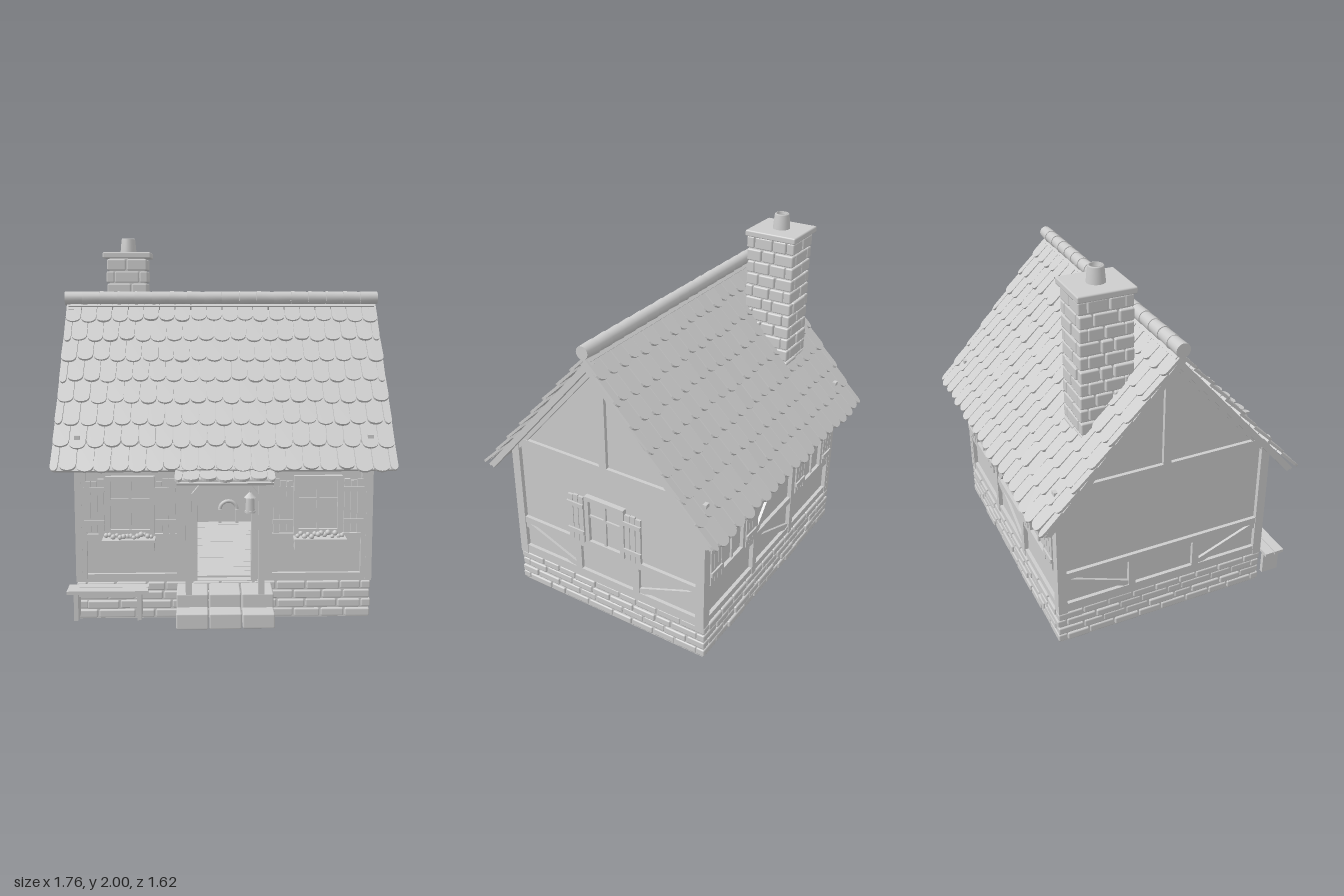
import * as THREE from 'three';
import { mergeGeometries } from 'three/addons/utils/BufferGeometryUtils.js';
import { RoundedBoxGeometry } from 'three/addons/geometries/RoundedBoxGeometry.js';

const CZ = -0.06;                       // centre line of the house in z
const SLOPE = 0.849;                    // roof pitch (about 48.7 degrees)
const clay = new THREE.MeshStandardMaterial({ color: 0xcccccc });
clay.name = 'paleGrey';

let seed = 7;
const rnd = (a = 0, b = 1) => {
  seed = (seed * 16807) % 2147483647;
  return a + (b - a) * (seed / 2147483647);
};

const flat = g => (g.index ? g.toNonIndexed() : g);
const box = (w, h, d, x, y, z) => new THREE.BoxGeometry(w, h, d).translate(x, y, z);
const stone = (w, h, d, x, y, z) =>
  new RoundedBoxGeometry(w, h, d, 1, Math.min(0.008, w / 4)).translate(x, y, z);
const rod = (r0, r1, h, x, y, z, n = 16) => new THREE.CylinderGeometry(r0, r1, h, n).translate(x, y, z);

function add(parent, name, geos) {
  const m = new THREE.Mesh(mergeGeometries(geos.map(flat)), clay);
  m.name = name;
  parent.add(m);
  return m;
}

// Timber between two points of a wall, standing proud by d
function beam(u0, y0, u1, y1, w, d = 0.02, z = 0) {
  return new THREE.BoxGeometry(Math.hypot(u1 - u0, y1 - y0), w, d + 0.01)
    .rotateZ(Math.atan2(y1 - y0, u1 - u0))
    .translate((u0 + u1) / 2, (y0 + y1) / 2, z + d / 2 - 0.005);
}

// Interlocking bricks around a rectangle
function brickRing(cx, cz, w, d, y0, rows, rowH, len, thick) {
  const out = [];
  for (let r = 0; r < rows; r++) {
    for (let side = 0; side < 4; side++) {
      const alongX = side % 2 === 0;
      const full = (alongX ? w : d) - ((r % 2 === 0) === alongX ? 0 : 2 * thick);
      const n = Math.max(1, Math.round(full / len));
      const cuts = [...Array(n + 1).keys()].map(i =>
        -full / 2 + full * (i / n) + (i > 0 && i < n ? rnd(-0.22, 0.22) * full / n : 0));
      for (let i = 0; i < n; i++) {
        const g = stone(cuts[i + 1] - cuts[i] - 0.007, rowH - 0.006, thick,
          (cuts[i] + cuts[i + 1]) / 2, y0 + (r + 0.5) * rowH,
          (alongX ? d : w) / 2 - thick / 2 + rnd(-0.006, 0.003));
        out.push(g.rotateY(side * Math.PI / 2).translate(cx, 0, cz));
      }
    }
  }
  return out;
}

// One round-ended tile hanging down from y = 0
function tile(w, l) {
  const s = new THREE.Shape();
  s.moveTo(-w / 2, 0);
  s.lineTo(-w / 2, -l + 0.035);
  s.bezierCurveTo(-w / 2, -l - 0.01, w / 2, -l - 0.01, w / 2, -l + 0.035);
  s.lineTo(w / 2, 0);
  return new THREE.ExtrudeGeometry(s, { depth: 0.014, bevelEnabled: false, curveSegments: 8 });
}

// Staggered rows of tiles on the plane z = 0, running down -y
function tileRows(half, n, rows, pitch, len, start) {
  const out = [], step = 2 * half / n;
  for (let r = 0; r < rows; r++) {
    const odd = r % 2;
    for (let i = 0; i < n + odd; i++) {
      const a = Math.max(-half, -half + (i - odd / 2) * step);
      const b = Math.min(half, -half + (i + 1 - odd / 2) * step);
      out.push(tile(b - a - 0.005, len + rnd(-0.008, 0.008))
        .rotateX(-0.08 + rnd(-0.02, 0.01)).rotateZ(rnd(-0.025, 0.025))
        .translate((a + b) / 2, start - r * pitch, -0.028));
    }
  }
  return out;
}

// Window with cross bars and a pair of planked shutters
function addWindow(wall, u) {
  const y = 0.605, g = new THREE.Group();
  g.name = 'window';
  g.position.set(u, y, 0);
  wall.add(g);
  add(g, 'windowPane', [box(0.23, 0.28, 0.008, 0, 0, 0.006)]);
  const bars = [box(0.21, 0.014, 0.018, 0, 0.03, 0.012), box(0.014, 0.27, 0.018, 0, 0, 0.012)];
  for (const s of [-1, 1]) {
    bars.push(box(0.025, 0.3, 0.035, s * 0.113, 0, 0.012), box(0.25, 0.025, 0.035, 0, s * 0.14, 0.012));
  }
  add(g, 'windowFrame', bars);
  const planks = [];
  for (const s of [-1, 1]) {
    for (let i = -1; i <= 1; i++)
      planks.push(box(0.03, 0.28 + rnd(-0.02, 0.02), 0.014, s * 0.183 + i * 0.034, -0.005, 0.024));
    for (const t of [-1, 1]) planks.push(box(0.105, 0.024, 0.012, s * 0.183, t * 0.085, 0.034));
  }
  add(g, 'shutters', planks);
}

function addPlanter(wall, u) {
  add(wall, 'planter', [box(0.26, 0.055, 0.07, u, 0.41, 0.065), box(0.27, 0.012, 0.08, u, 0.437, 0.065)]);
  const blooms = [];
  for (let i = 0; i < 14; i++)
    blooms.push(new THREE.IcosahedronGeometry(rnd(0.01, 0.015), 1)
      .translate(u - 0.115 + i * 0.0177, rnd(0.45, 0.465), rnd(0.045, 0.085)));
  add(wall, 'flowers', blooms);
}

export function createModel() {
  const house = new THREE.Group();
  house.name = 'cottage';
  const sub = (name, x, y, z, ry = 0, rx = 0) => {
    const g = new THREE.Group();
    g.name = name;
    g.position.set(x, y, z);
    g.rotation.set(rx, ry, 0, 'YXZ');
    house.add(g);
    return g;
  };

  // Stone base
  add(house, 'foundation', [box(1.51, 0.2, 1.2, 0, 0.1, CZ)]);
  add(house, 'foundationStones', brickRing(0, CZ, 1.53, 1.23, 0.004, 4, 0.049, 0.14, 0.05));

  // Four walls, each drawn facing +z in its own group
  const front = sub('frontWall', 0, 0, 0.525);
  const back = sub('backWall', 0, 0, -0.645, Math.PI);
  const sides = [1, -1].map(s => sub(s > 0 ? 'leftWall' : 'rightWall', s * 0.745, 0, CZ, s * Math.PI / 2));
  const panel = pts => new THREE.ExtrudeGeometry(new THREE.Shape(pts.map(p => new THREE.Vector2(...p))),
    { depth: 0.03, bevelEnabled: false }).translate(0, 0, -0.03);
  add(front, 'plaster', [panel([[-0.745, 0.2], [-0.15, 0.2], [-0.15, 0.73], [0.15, 0.73], [0.15, 0.2],
    [0.745, 0.2], [0.745, 0.94], [-0.745, 0.94]])]);
  add(back, 'plaster', [panel([[-0.745, 0.2], [0.745, 0.2], [0.745, 0.94], [-0.745, 0.94]])]);

  const frontTimber = [beam(-0.755, 0.92, 0.755, 0.92, 0.05)];
  const backTimber = [0.92, 0.435, 0.225].map(y => beam(-0.755, y, 0.755, y, y > 0.9 ? 0.05 : 0.04));
  for (const s of [-1, 1]) {
    frontTimber.push(beam(s * 0.735, 0.2, s * 0.735, 0.94, 0.05, 0.024), beam(s * 0.225, 0.2, s * 0.225, 0.94, 0.045, 0.024),
      beam(s * 0.225, 0.435, s * 0.755, 0.435, 0.035), beam(s * 0.225, 0.22, s * 0.755, 0.22, 0.04));
    backTimber.push(beam(s * 0.735, 0.2, s * 0.735, 0.94, 0.05, 0.024), beam(s * 0.225, 0.2, s * 0.225, 0.94, 0.04, 0.024));
    addWindow(front, s * 0.485);
    addPlanter(front, s * 0.49);
    addWindow(back, s * 0.48);
  }
  backTimber.push(beam(-0.2, 0.41, 0.2, 0.25, 0.035, 0.015), beam(-0.2, 0.45, 0.2, 0.88, 0.035, 0.015));
  add(front, 'timber', frontTimber);
  add(back, 'timber', backTimber);

  for (const wall of sides) {
    add(wall, 'plaster', [panel([[-0.59, 0.2], [0.59, 0.2], [0.59, 0.92], [0, 1.585], [-0.59, 0.92]])]);
    const t = [beam(-0.61, 0.945, 0.61, 0.945, 0.05), beam(-0.61, 0.435, 0.61, 0.435, 0.04),
      beam(-0.61, 0.23, 0.61, 0.23, 0.055), beam(0, 0.96, 0, 1.54, 0.045)];
    for (const s of [-1, 1]) {
      t.push(beam(s * 0.585, 0.2, s * 0.585, 0.94, 0.05, 0.024), beam(s * 0.19, 0.25, s * 0.19, 0.42, 0.04),
        beam(s * 0.57, 0.405, s * 0.21, 0.265, 0.035, 0.015), beam(s * 0.59, 0.893, 0, 1.56, 0.035, 0.018));
    }
    add(wall, 'timber', t);
  }
  addWindow(sides[0], 0);

  // Roof slopes
  for (const s of [1, -1]) {
    const roof = sub(s > 0 ? 'frontRoof' : 'backRoof', 0, 1.65, CZ, s > 0 ? 0 : Math.PI, SLOPE - Math.PI / 2);
    add(roof, 'roofBoards', [box(1.72, 1.085, 0.016, 0, -0.552, -0.04)]);
    add(roof, 'rafters', [-1, 1].map(e => box(0.03, 1.07, 0.03, e * 0.845, -0.55, -0.05)));
    add(roof, 'tiles', tileRows(0.875, 20, 8, 0.137, 0.17, 0.013));
  }
  const ridge = [];
  for (let i = 0; i < 18; i++)
    ridge.push(rod(0.038, 0.034, 0.097, 0, 0, 0).rotateZ(Math.PI / 2 + rnd(-0.02, 0.02))
      .translate(-0.833 + i * 0.098, 1.657, CZ));
  add(house, 'ridgeTiles', ridge);

  // Chimney
  const cx = -0.545, cz = -0.34;
  add(house, 'chimneyCore', [box(0.2, 0.82, 0.25, cx, 1.48, cz)]);
  add(house, 'chimneyBricks', brickRing(cx, cz, 0.235, 0.285, 1.11, 11, 0.07, 0.11, 0.045));
  add(house, 'chimneyCap', [stone(0.275, 0.035, 0.3, cx, 1.9, -0.345)]);
  const pot = new THREE.LatheGeometry([[0.048, 1.91], [0.04, 1.995], [0.036, 2], [0.028, 2], [0.028, 1.93], [0, 1.93]]
    .map(p => new THREE.Vector2(...p)), 24).translate(cx, 0, -0.345);
  add(house, 'chimneyPot', [pot]);

  // Steps and porch
  const steps = [];
  for (let i = -1; i <= 1; i++) {
    steps.push(stone(0.16, 0.075 + rnd(0, 0.008), 0.25, i * 0.165, 0.08, 0.69),
      stone(0.16, 0.145, 0.18, i * 0.165, 0.117, 0.63));
  }
  add(house, 'steps', steps);
  const porch = [box(0.48, 0.03, 0.03, 0, 0.765, 0.72)];
  for (const s of [-1, 1]) {
    porch.push(box(0.032, 0.57, 0.032, s * 0.182, 0.475, 0.715), box(0.03, 0.025, 0.2, s * 0.182, 0.775, 0.63),
      beam(s * 0.18, 0.67, s * 0.11, 0.755, 0.022, 0.02, 0.705));
  }
  add(house, 'porchFrame', porch);
  const porchRoof = sub('porchRoof', 0, 0.865, 0.54, 0, 0.33 - Math.PI / 2);
  add(porchRoof, 'porchBoards', [box(0.48, 0.23, 0.012, 0, -0.115, -0.034)]);
  add(porchRoof, 'porchTiles', tileRows(0.25, 6, 2, 0.1, 0.14, 0));
  add(house, 'lantern', [rod(0.02, 0.024, 0.07, 0.125, 0.645, 0.69, 8), rod(0.006, 0.032, 0.025, 0.125, 0.692, 0.69, 8),
    rod(0.028, 0.028, 0.01, 0.125, 0.607, 0.69, 8), rod(0.004, 0.004, 0.06, 0.125, 0.73, 0.69, 6)]);

  // Doorway and room
  add(house, 'doorFrame', [box(0.03, 0.54, 0.06, -0.155, 0.47, 0.52), box(0.03, 0.54, 0.06, 0.155, 0.47, 0.52),
    box(0.34, 0.035, 0.06, 0, 0.74, 0.52)]);
  add(house, 'openDoor', [box(0.02, 0.5, 0.27, 0.165, 0.46, 0.36)]);
  add(house, 'floorPlanks', [...Array(14).keys()].map(i => box(1.44, 0.012, 0.077, 0, 0.203, 0.45 - i * 0.08)));
  const shelf = [];
  for (const y of [0.53, 0.62]) {
    shelf.push(box(0.3, 0.012, 0.08, 0, y, -0.57));
    for (let i = 0; i < 6; i++) shelf.push(rod(0.015, 0.017, 0.045, -0.12 + i * 0.045, y + 0.028, -0.57, 10));
  }
  add(house, 'shelvesWithJars', shelf);
  const hearth = new THREE.TorusGeometry(0.055, 0.012, 6, 16, Math.PI).translate(0.055, 0.295, -0.6);
  add(house, 'hearth', [hearth, box(0.02, 0.09, 0.03, 0, 0.25, -0.6), box(0.02, 0.09, 0.03, 0.11, 0.25, -0.6)]);

  // Bench
  const bench = [box(0.41, 0.018, 0.055, -0.595, 0.187, 0.6), box(0.41, 0.018, 0.055, -0.595, 0.187, 0.66)];
  for (const x of [-0.755, -0.435]) bench.push(box(0.022, 0.14, 0.1, x, 0.11, 0.63));
  bench.push(box(0.32, 0.02, 0.02, -0.595, 0.16, 0.63));
  add(house, 'bench', bench);

  return house;
}
